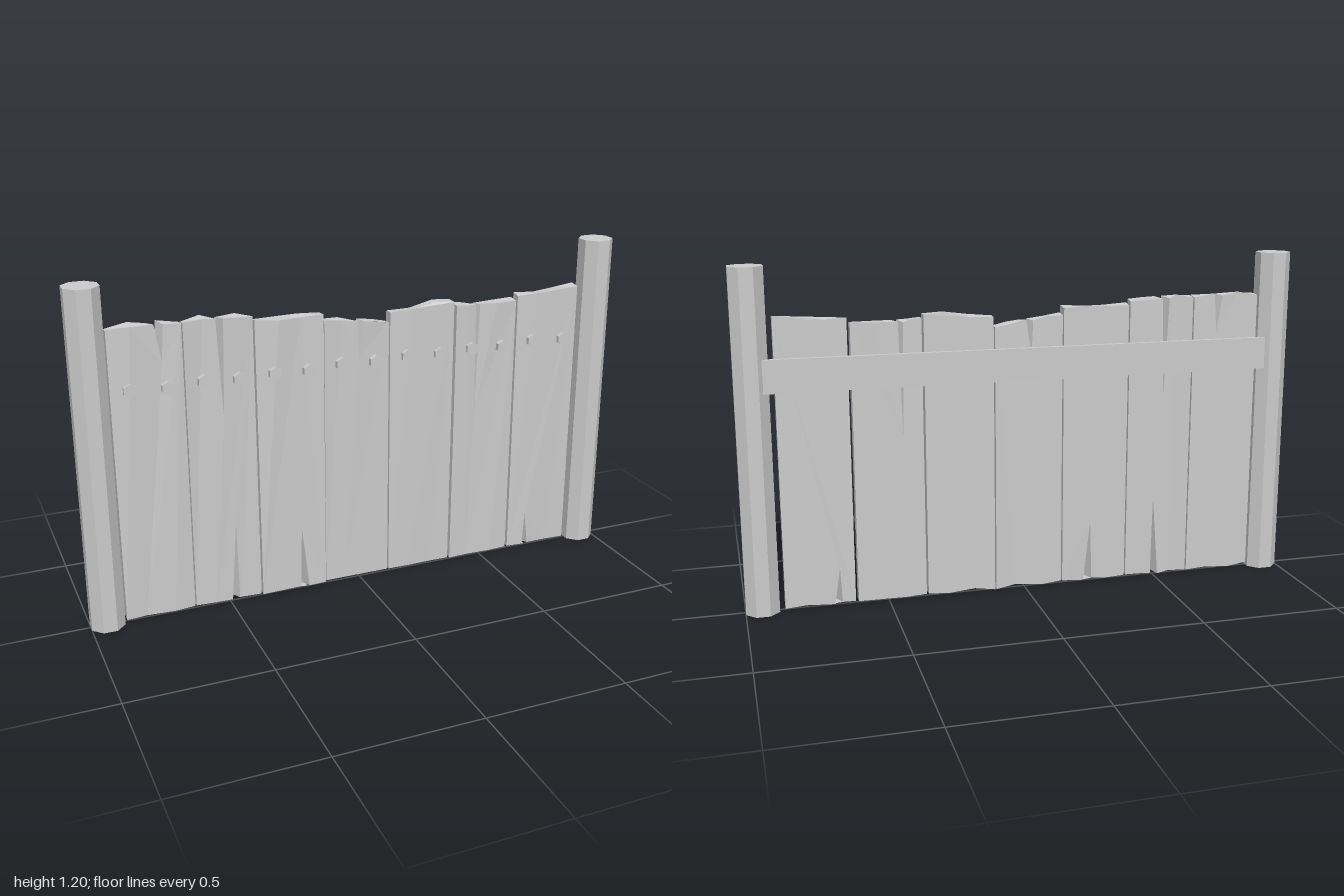
import * as THREE from 'three';

const material = new THREE.MeshStandardMaterial({ color: 0xcccccc, flatShading: true });

// Planks: left and right edge, top edge points, cracks [mouthA, mouthB, tipX, tipY], front face z.
const planks = [
  { x: [-0.877, -0.632], top: [[-0.877, 1.05], [-0.8, 1.055], [-0.632, 1.05]], topCrack: [-0.72, -0.69, -0.7, 0.92], z: 0.015 },
  { x: [-0.627, -0.387], top: [[-0.627, 1.05], [-0.56, 1.053], [-0.44, 1.048], [-0.387, 1.045]], topCrack: [-0.515, -0.49, -0.5, 0.7], lowCrack: [-0.495, -0.467, -0.472, 0.31], z: 0.014 },
  { x: [-0.382, -0.14], top: [[-0.382, 1.032], [-0.3, 1.025], [-0.22, 1.025], [-0.14, 1.03]], lowCrack: [-0.236, -0.205, -0.23, 0.245], z: 0.02 },
  { x: [-0.135, 0.11], top: [[-0.135, 1.005], [-0.07, 0.996], [0.06, 0.98], [0.11, 0.97]], topCrack: [-0.01, 0.015, -0.005, 0.86], z: 0.012 },
  { x: [0.115, 0.36], top: [[0.115, 1.005], [0.2, 1.012], [0.29, 1.025], [0.36, 1.02]], z: 0.012 },
  { x: [0.367, 0.61], top: [[0.367, 1.007], [0.41, 1.003], [0.53, 1.0], [0.61, 1.0]], topCrack: [0.447, 0.465, 0.455, 0.59], z: 0.018 },
  { x: [0.62, 0.865], top: [[0.62, 1.015], [0.7, 1.02], [0.78, 1.025], [0.865, 1.03]], lowCrack: [0.684, 0.71, 0.69, 0.14], z: 0.015 },
];

// Adds a V-shaped crack to an edge that runs from left to right.
function cutCrack(edge, crack) {
  if (!crack) return { edge, notch: [] };
  const [a, b, tipX, tipY] = crack;
  const next = edge.findIndex((p) => p[0] > b);
  const [p, q] = [edge[next - 1], edge[next]];
  const yAt = (x) => p[1] + (q[1] - p[1]) * (x - p[0]) / (q[0] - p[0]);
  const notch = [[a, yAt(a)], [tipX, tipY], [b, yAt(b)]];
  return { edge: [...edge.slice(0, next), ...notch, ...edge.slice(next)], notch };
}

function plankGeometry({ x: [l, r], top, topCrack, lowCrack, z: front }) {
  const bottom = [0, 0.3, 0.7, 1].map((t) => [l + (r - l) * t, 0.012]);
  const upper = cutCrack(top, topCrack);
  const lower = cutCrack(bottom, lowCrack);
  const outline = [...lower.edge, ...upper.edge.reverse()].map((p) => new THREE.Vector2(...p));
  const geo = new THREE.ExtrudeGeometry(new THREE.Shape(outline), { depth: 1, bevelEnabled: false });

  // Rough-hewn faces: uneven depth, ragged back edges and cracks that slant through the wood.
  const notches = [...upper.notch, ...lower.notch];
  const pos = geo.attributes.position;
  for (let i = 0; i < pos.count; i++) {
    const x = pos.getX(i), y = pos.getY(i);
    const wave = Math.sin(x * 37 + (y > 0.5 ? 0 : 2));
    if (pos.getZ(i) > 0.5) {
      pos.setZ(i, front + 0.005 * wave);
    } else {
      const inCrack = notches.some((n) => Math.hypot(n[0] - x, n[1] - y) < 1e-4);
      if (inCrack) pos.setX(i, x - 0.018);
      if (y > 0.95) pos.setY(i, y + 0.006 * Math.sin(x * 53));
      else if (y < 0.05) pos.setY(i, y + 0.005 * Math.sin(x * 41));
      pos.setZ(i, -0.024 + 0.004 * Math.sin(x * 29 + 1));
    }
  }
  geo.computeVertexNormals();
  return geo;
}

export function createModel() {
  const group = new THREE.Group();
  const add = (name, geometry, x = 0, y = 0, z = 0) => {
    const mesh = new THREE.Mesh(geometry, material);
    mesh.name = name;
    mesh.position.set(x, y, z);
    group.add(mesh);
  };

  // Octagonal posts
  const postGeo = new THREE.CylinderGeometry(0.0625, 0.0625, 1.2, 8).rotateY(Math.PI / 8);
  add('leftPost', postGeo, 0.942, 0.6);
  add('rightPost', postGeo, -0.942, 0.6);

  // Rail across the back
  add('backRail', new THREE.BoxGeometry(1.81, 0.115, 0.018), 0, 0.835, -0.036);

  // Planks, each with two hexagonal bolts
  const boltGeo = new THREE.CylinderGeometry(0.024, 0.024, 0.03, 6).rotateX(Math.PI / 2);
  planks.forEach((plank, i) => {
    add(`plank${i + 1}`, plankGeometry(plank));
    add('bolt', boltGeo, plank.x[0] + 0.063, 0.844, plank.z + 0.001);
    add('bolt', boltGeo, plank.x[1] - 0.055, 0.837, plank.z + 0.001);
  });

  return group;
}
